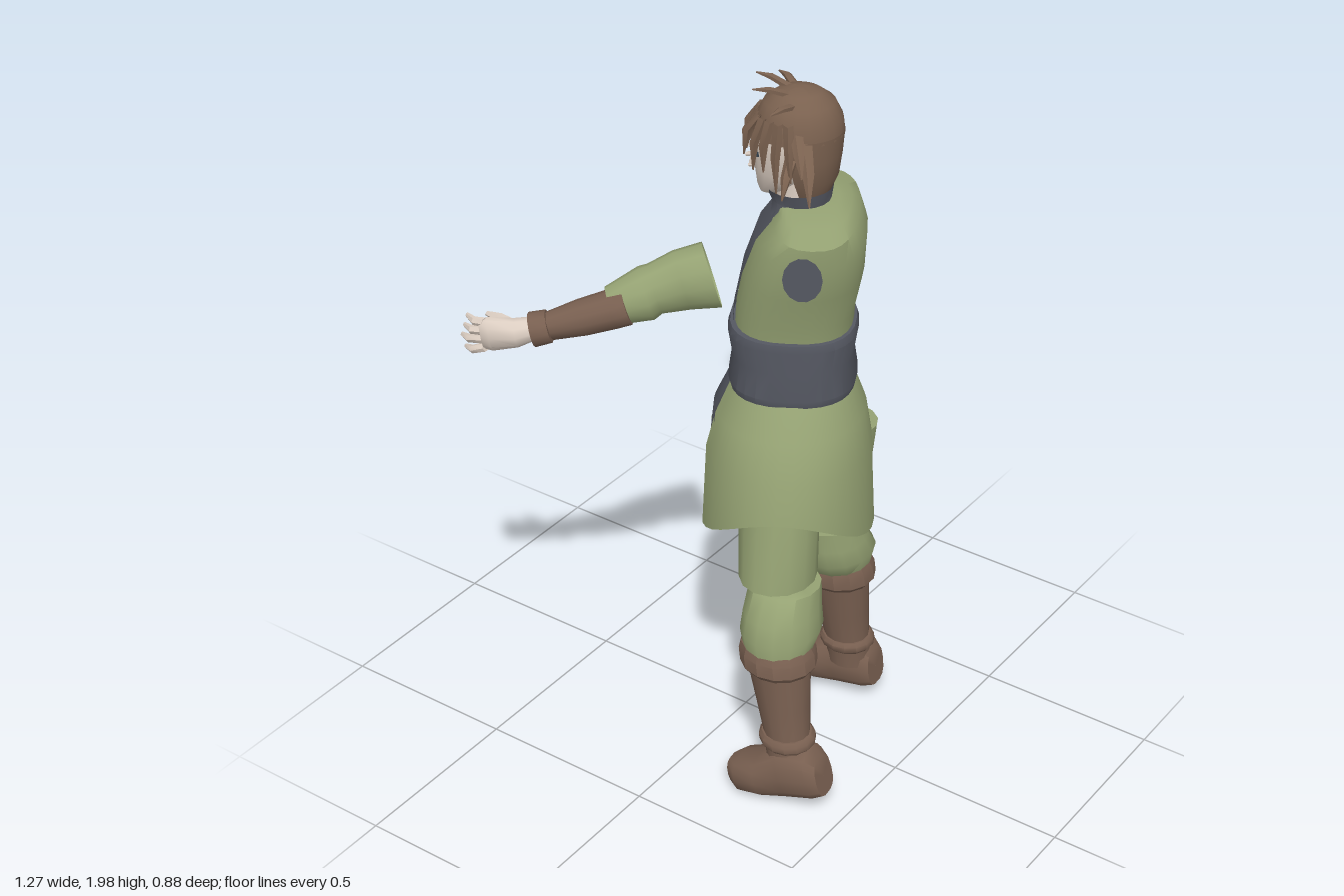
import * as THREE from 'three';
import { toCreasedNormals } from 'three/addons/utils/BufferGeometryUtils.js';

const mat = (name, color) =>
  Object.assign(new THREE.MeshStandardMaterial({ color, side: THREE.DoubleSide }), { name });
const M = {
  cloth: mat('green cloth', 0x95a273),
  dark: mat('slate cloth', 0x555862),
  leather: mat('brown leather', 0x785f50),
  lace: mat('dark lace', 0x4a392f),
  hair: mat('brown hair', 0x7a614f),
  skin: mat('pale skin', 0xdccec2),
  eye: mat('eye', 0x33404c),
};
const V = (a) => new THREE.Vector3(a[0], a[1], a[2]);
const TAU = Math.PI * 2;

// Skin over elliptical sections; each row is [x, y, z, radiusU, radiusV].
// Upright rows use x and z as section axes, others a frame built on the overall direction.
function loft(parent, name, material, rows, o = {}) {
  const { n = 16, p = 2, arc = [0, TAU], caps = true, bend, crease = 0.8 } = o;
  const t = V(rows[rows.length - 1]).sub(V(rows[0])).normalize();
  let u = new THREE.Vector3(1, 0, 0), v = new THREE.Vector3(0, 0, 1);
  if (!o.upright && Math.abs(t.y) < 0.85) {
    u = t.clone().cross(new THREE.Vector3(0, 1, 0)).normalize();
    v = u.clone().cross(t);
  }
  const flip = t.y < 0 && (o.upright || Math.abs(t.y) >= 0.85);
  let rs = flip ? [...rows].reverse() : rows;
  if (caps) {
    const end = (r) => [r[0], r[1], r[2], 0.001, 0.001];
    rs = [end(rs[0]), ...rs, end(rs[rs.length - 1])];
  }
  const pos = [], idx = [];
  const pw = (x) => Math.sign(x) * Math.abs(x) ** (2 / p);
  rs.forEach((r, i) => {
    for (let j = 0; j <= n; j++) {
      const a = arc[0] + (arc[1] - arc[0]) * j / n;
      const q = V(r).addScaledVector(u, r[3] * pw(Math.cos(a))).addScaledVector(v, r[4] * pw(Math.sin(a)));
      if (bend) bend(q, a, i);
      pos.push(q.x, q.y, q.z);
      if (i && j) {
        const d = i * (n + 1) + j, c = d - 1, b = d - n - 1, e = b - 1;
        idx.push(e, c, b, b, c, d);
      }
    }
  });
  const g = new THREE.BufferGeometry();
  g.setAttribute('position', new THREE.Float32BufferAttribute(pos, 3));
  g.setIndex(idx);
  const mesh = new THREE.Mesh(toCreasedNormals(g, crease), material);
  mesh.name = name;
  parent.add(mesh);
  return mesh;
}

// Flat pointed lock of hair, bowed away from the head
function lock(parent, a, b, w) {
  const mid = V(a).lerp(V(b), 0.5).multiply(new THREE.Vector3(1.12, 1.004, 1.12));
  loft(parent, 'hairLock', M.hair, [[...a, w, w * 0.6], [...mid.toArray(), w * 0.8, w * 0.5],
    [...b, 0.002, 0.002]], { n: 5, caps: false });
}

function group(parent, name, x = 0, z = 0, turn = 0) {
  const g = new THREE.Group();
  g.name = name;
  g.position.set(x, 0, z);
  g.rotation.y = turn;
  parent.add(g);
  return g;
}

function buildTorso(root) {
  const g = group(root, 'torso', -0.02, 0.17, Math.PI * 7 / 6);
  const vest = [[0.01, 1.32, 0.005, 0.15, 0.15], [0.01, 1.4, 0, 0.16, 0.15], [0, 1.5, -0.02, 0.2, 0.15],
    [0, 1.6, -0.04, 0.222, 0.135], [0, 1.655, -0.05, 0.225, 0.105], [0, 1.675, -0.045, 0.15, 0.09],
    [0, 1.69, -0.03, 0.08, 0.075]];
  loft(g, 'vest', M.cloth, vest, { n: 28, p: 2.5, upright: true });
  const grow = (rows, d) => rows.map(([x, y, z, a, b]) => [x, y, z, a + d, b + d]);
  const front = (h) => [Math.PI / 2 - h, Math.PI / 2 + h];
  loft(g, 'shirtFront', M.dark, grow(vest, 0.005), { n: 8, p: 2.5, arc: front(0.25), caps: false, upright: true });
  // Armholes
  for (const s of [1, -1]) {
    const hole = new THREE.Mesh(new THREE.CircleGeometry(0.055, 14), M.dark);
    hole.name = 'armhole';
    hole.position.set(s * 0.226, 1.575, -0.03);
    hole.rotation.y = s * Math.PI / 2;
    hole.scale.set(0.9, 1.1, 1);
    g.add(hole);
  }
  loft(g, 'collar', M.dark, [[0, 1.655, -0.02, 0.1, 0.09], [0, 1.69, -0.01, 0.075, 0.075], [0, 1.725, -0.005, 0.085, 0.085]],
    { arc: [Math.PI * 0.62, Math.PI * 2.38], caps: false, upright: true });
  loft(g, 'sash', M.dark, [[0.013, 1.18, 0.005, 0.165, 0.16], [0.013, 1.2, 0.005, 0.17, 0.165],
    [0.013, 1.27, 0.005, 0.157, 0.155], [0.013, 1.34, 0.005, 0.169, 0.166], [0.013, 1.36, 0.005, 0.165, 0.16]],
    { n: 28, p: 2.5, upright: true, crease: 0.5 });
  // Skirt, split at the front, with a hem that is higher at the sides
  const skirt = [[0.012, 0.9, 0.015, 0.285, 0.228], [0.012, 1.0, 0.015, 0.262, 0.216], [0.012, 1.1, 0.01, 0.22, 0.195],
    [0.012, 1.2, 0.005, 0.155, 0.155]];
  loft(g, 'skirt', M.cloth, skirt, {
    n: 32, arc: [Math.PI / 2 + 0.27, Math.PI * 2.5 - 0.27], caps: false, upright: true,
    bend: (q, a, i) => { if (i === 0) q.y -= 0.15 * Math.sin(a) ** 2; },
  });
  loft(g, 'frontFlap', M.dark, grow([[0.012, 0.95, 0.01, 0.26, 0.21], ...skirt.slice(2)], 0.004),
    { n: 6, arc: front(0.32), caps: false, upright: true });
}

function buildHead(root) {
  const g = group(root, 'head', -0.025, 0.165, Math.PI * 7 / 6);
  loft(g, 'neck', M.skin, [[0, 1.63, -0.01, 0.055, 0.055], [0, 1.77, -0.01, 0.05, 0.055]]);
  loft(g, 'face', M.skin, [[0, 1.705, 0.06, 0.022, 0.025], [0, 1.725, 0.04, 0.046, 0.052], [0, 1.77, 0.02, 0.072, 0.078],
    [0, 1.83, 0.005, 0.086, 0.096], [0, 1.9, 0, 0.088, 0.092], [0, 1.95, 0, 0.06, 0.06]], { n: 18 });
  loft(g, 'nose', M.skin, [[0, 1.775, 0.094, 0.011, 0.022], [0, 1.825, 0.094, 0.005, 0.009]], { n: 6 });
  for (const s of [1, -1]) {
    const eye = new THREE.Mesh(new THREE.BoxGeometry(0.026, 0.012, 0.006), M.eye);
    eye.name = 'eye';
    eye.position.set(s * 0.034, 1.82, 0.092);
    eye.rotation.y = s * 0.4;
    g.add(eye);
  }
  // Hair: crown, back and loose locks
  loft(g, 'hairCrown', M.hair, [[0, 1.87, -0.01, 0.106, 0.112], [0, 1.91, -0.01, 0.102, 0.108], [0, 1.95, -0.01, 0.083, 0.088],
    [0, 1.975, -0.01, 0.05, 0.055], [0, 1.985, -0.01, 0.015, 0.015]], { n: 20, upright: true });
  loft(g, 'hairBack', M.hair, [[0, 1.715, -0.03, 0.07, 0.06], [0, 1.76, -0.025, 0.092, 0.084], [0, 1.82, -0.015, 0.104, 0.102],
    [0, 1.88, -0.01, 0.106, 0.112]], { n: 16, arc: [Math.PI * 0.93, Math.PI * 2.07], caps: false, upright: true });
  for (let i = 0; i < 11; i++) {
    const a = (i - 5) * 0.29, long = [0, 0.035, -0.01, 0.02][i % 4], side = Math.abs(i - 5) / 5;
    lock(g, [Math.sin(a) * 0.085, 1.925, Math.cos(a) * 0.085],
      [Math.sin(a + 0.12) * (0.115 + side * 0.02), 1.84 - long - side * 0.06, Math.cos(a + 0.12) * 0.125], 0.024);
  }
  for (const s of [1, -1]) {
    lock(g, [s * 0.085, 1.9, -0.01], [s * 0.19, 1.83, -0.03], 0.018);
    lock(g, [s * 0.085, 1.88, -0.03], [s * 0.2, 1.76, -0.05], 0.02);
    lock(g, [s * 0.085, 1.84, 0], [s * 0.15, 1.75, 0.02], 0.018);
    lock(g, [s * 0.05, 1.955, 0], [s * 0.13, 1.965, 0.05], 0.014);
    lock(g, [s * 0.02, 1.97, 0.01], [s * 0.05, 1.995, 0.1], 0.014);
  }
}

function buildArm(root, s) {
  const g = group(root, s > 0 ? 'leftArm' : 'rightArm');
  const side = (rows) => rows.map(([x, ...r]) => [x * s, ...r]);
  const part = (name, m, rows, o) => loft(g, name, m, side(rows), o);
  part('sleeve', M.cloth, [[0.25, 1.54, 0.075, 0.068, 0.09], [0.3, 1.53, 0.02, 0.064, 0.08], [0.345, 1.51, -0.03, 0.058, 0.066],
    [0.36, 1.5, -0.045, 0.066, 0.07], [0.42, 1.47, -0.11, 0.048, 0.05]], { n: 12, caps: false });
  part('bracer', M.leather, [[0.4, 1.478, -0.075, 0.058, 0.052], [0.425, 1.467, -0.1, 0.053, 0.049],
    [0.47, 1.445, -0.16, 0.048, 0.046], [0.52, 1.422, -0.225, 0.036, 0.036]], { n: 12 });
  part('bracerCuff', M.leather, [[0.52, 1.422, -0.225, 0.042, 0.042], [0.545, 1.412, -0.26, 0.046, 0.044]], { n: 12 });
  // Crossed laces under the bracer
  for (let i = 0; i < 4; i++) {
    const at = (k, w) => [0.425 + 0.024 * k - 0.022 * w, 1.418 - 0.006 * k + Math.abs(w) * 0.004,
      -0.115 - 0.031 * k - 0.016 * w, 0.004, 0.004];
    for (const w of [1, -1]) part('lace', M.lace, [at(i, w), at(i + 0.8, -w)], { n: 4 });
  }
  part('palm', M.skin, [[0.53, 1.418, -0.245, 0.028, 0.028], [0.57, 1.405, -0.29, 0.034, 0.038],
    [0.605, 1.4, -0.345, 0.028, 0.046], [0.615, 1.398, -0.365, 0.018, 0.04]], { n: 10 });
  for (let i = 0; i < 4; i++) {
    const k = i - 1.5, reach = 0.01 * Math.abs(k - 0.5);
    part('finger', M.skin, [[0.612, 1.398 - k * 0.023, -0.355, 0.012, 0.013], [0.626, 1.395 - k * 0.028, -0.395 + reach, 0.011, 0.011],
      [0.612, 1.39 - k * 0.031, -0.43 + reach, 0.006, 0.006]], { n: 6 });
  }
  part('thumb', M.skin, [[0.565, 1.415, -0.285, 0.016, 0.018], [0.57, 1.43, -0.34, 0.013, 0.013], [0.573, 1.432, -0.38, 0.006, 0.006]], { n: 6 });
}

function buildLeg(root, name, thigh, knee, ankle, heel, toe) {
  const g = group(root, name);
  const o = { n: 14, upright: true };
  loft(g, 'thigh', M.cloth, thigh, o);
  loft(g, 'kneeCloth', M.cloth, knee, { ...o, crease: 1.2 });
  const top = knee[0], [ax, az] = ankle;
  const at = (y, r) => {
    const k = (0.47 - y) / 0.28;
    return [top[0] + (ax - top[0]) * k, y, top[2] + (az - top[2]) * k, r, r * 1.04];
  };
  loft(g, 'bootShaft', M.leather, [at(0.14, 0.06), at(0.22, 0.06), at(0.32, 0.07), at(0.45, 0.084)], o);
  loft(g, 'bootCuff', M.leather, [at(0.425, 0.088), at(0.44, 0.1), at(0.475, 0.1), at(0.495, 0.092)], { ...o, crease: 0.4 });
  loft(g, 'ankleBand', M.leather, [at(0.195, 0.066), at(0.205, 0.074), at(0.22, 0.074), at(0.23, 0.066)], o);
  // Foot, from heel to toe
  const h = V(heel), d = V(toe).sub(h);
  const ring = (k, lift, w, t) => [...h.clone().addScaledVector(d, k).add(new THREE.Vector3(0, lift, 0)).toArray(), w, t];
  loft(g, 'bootFoot', M.leather, [ring(0, 0.01, 0.045, 0.055), ring(0.1, 0.02, 0.062, 0.07), ring(0.4, 0.02, 0.066, 0.075),
    ring(0.65, 0, 0.074, 0.056), ring(0.88, -0.005, 0.068, 0.048), ring(1, -0.005, 0.04, 0.036)], { n: 14, p: 2.8 });
}

export function createModel() {
  const root = new THREE.Group();
  root.name = 'swordsman';
  buildTorso(root);
  buildHead(root);
  for (const s of [1, -1]) buildArm(root, s);
  loft(root, 'hips', M.cloth, [[0, 0.8, 0.19, 0.06, 0.07], [-0.01, 0.88, 0.18, 0.15, 0.1], [-0.02, 1.05, 0.17, 0.15, 0.13]], { upright: true });
  buildLeg(root, 'leftLeg',
    [[0.155, 0.65, 0.16, 0.098, 0.092], [0.155, 0.8, 0.18, 0.094, 0.1], [0.15, 0.97, 0.215, 0.082, 0.09]],
    [[0.19, 0.475, 0.175, 0.09, 0.09], [0.18, 0.53, 0.175, 0.12, 0.105], [0.16, 0.58, 0.17, 0.105, 0.1], [0.14, 0.64, 0.165, 0.092, 0.092]],
    [0.215, 0.2], [0.245, 0.11, 0.275], [0.22, 0.09, 0.005]);
  buildLeg(root, 'rightLeg',
    [[-0.172, 0.66, 0.225, 0.11, 0.1], [-0.155, 0.8, 0.215, 0.105, 0.105], [-0.13, 0.97, 0.2, 0.09, 0.1]],
    [[-0.23, 0.475, 0.265, 0.09, 0.09], [-0.205, 0.53, 0.26, 0.12, 0.105], [-0.195, 0.58, 0.255, 0.112, 0.1], [-0.175, 0.65, 0.25, 0.095, 0.095]],
    [-0.25, 0.315], [-0.25, 0.12, 0.43], [-0.285, 0.065, 0.165]);
  return root;
}
